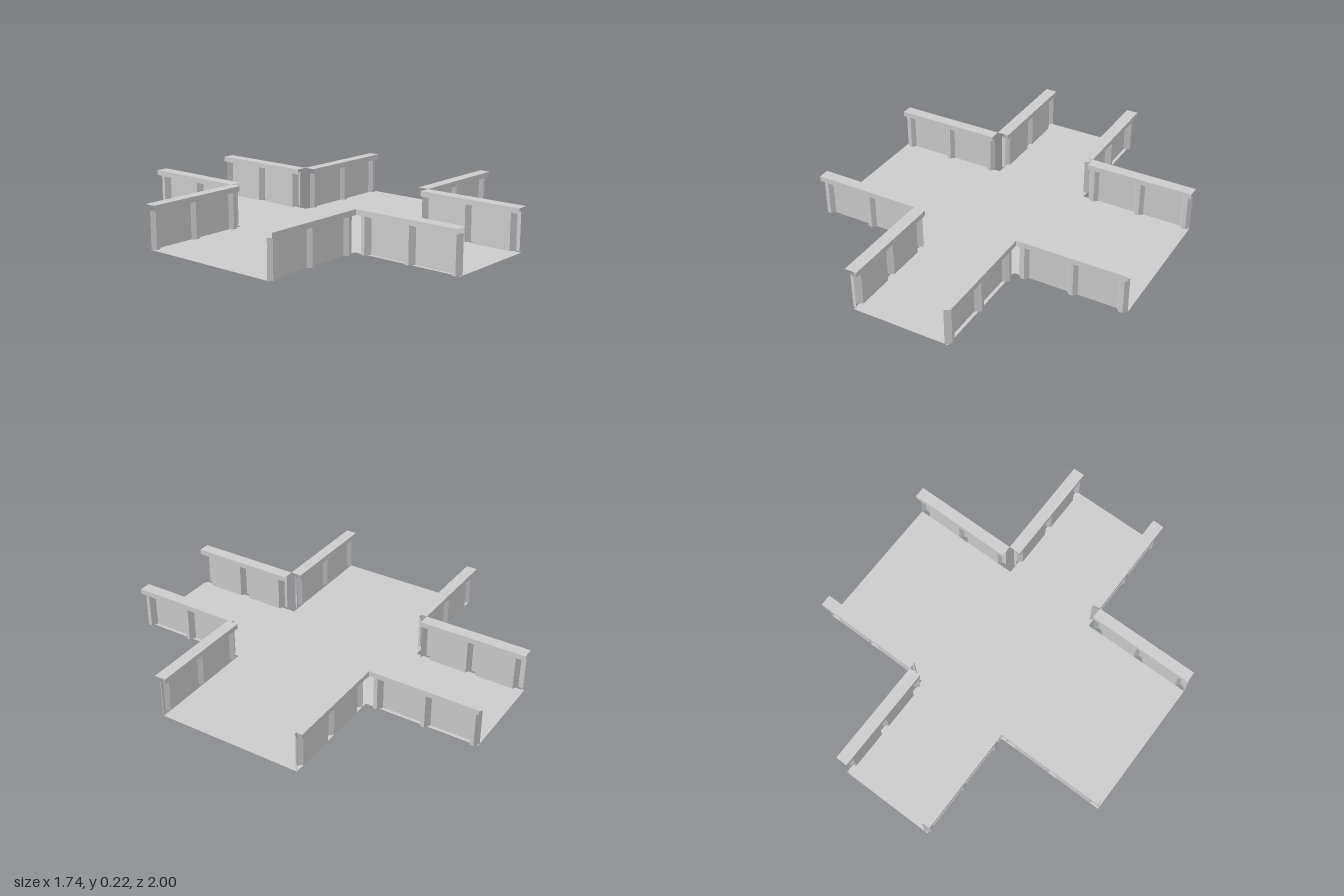
import * as THREE from 'three';

const FLOOR_X = 0.26, FLOOR_Z = 0.388;   // half widths of the two arms
const END_X = 0.87, END_Z = 1;           // arm ends
const WALL_H = 0.197, CAP_H = 0.225;

const sheetMat = new THREE.MeshStandardMaterial({ color: 0xcccccc, flatShading: true, side: THREE.DoubleSide });
const capMat = new THREE.MeshStandardMaterial({ color: 0xcccccc, flatShading: true });

// Ribbed profile along an edge: [distance along, offset], three trapezoid ribs
function ribProfile(start, end, depth) {
  const rib = 0.056, slope = 0.018;
  const step = (end - start - rib) / 2;
  const pts = [];
  for (let i = 0; i < 3; i++) {
    const a = start + i * step;
    pts.push([a, 0], [a + slope, depth], [a + rib - slope, depth], [a + rib, 0]);
  }
  return pts;
}

// Vertical sheet standing on a plan path of [x, z] points
function wallSheet(path) {
  const pos = [];
  for (let i = 0; i < path.length - 1; i++) {
    const [x0, z0] = path[i], [x1, z1] = path[i + 1];
    pos.push(x0, 0, z0, x1, 0, z1, x1, WALL_H, z1);
    pos.push(x0, 0, z0, x1, WALL_H, z1, x0, WALL_H, z0);
  }
  const g = new THREE.BufferGeometry();
  g.setAttribute('position', new THREE.Float32BufferAttribute(pos, 3));
  g.computeVertexNormals();
  return g;
}

// Rectangular rail with open ends; axis is 'x' or 'z'
function openRail(axis, length, width) {
  const h = CAP_H - WALL_H;
  const g = axis === 'x'
    ? new THREE.BoxGeometry(length, h, width)
    : new THREE.BoxGeometry(width, h, length);
  const first = axis === 'x' ? 0 : 24;     // index range of the two end faces
  const kept = Array.from(g.index.array).filter((_, i) => i < first || i >= first + 12);
  g.setIndex(kept);
  return g;
}

export function createModel() {
  const group = new THREE.Group();
  const add = (name, geometry, material, x = 0, y = 0, z = 0) => {
    const m = new THREE.Mesh(geometry, material);
    m.name = name;
    m.position.set(x, y, z);
    group.add(m);
  };

  // Cross-shaped floor
  const cross = new THREE.Shape();
  const quarter = [[END_X, FLOOR_Z], [FLOOR_X, FLOOR_Z], [FLOOR_X, END_Z]];
  const mirrored = (sx, sy, pts) => pts.map(([x, y]) => new THREE.Vector2(x * sx, y * sy));
  const reversed = [...quarter].reverse();
  cross.setFromPoints([
    ...mirrored(1, 1, quarter), ...mirrored(-1, 1, reversed),
    ...mirrored(-1, -1, quarter), ...mirrored(1, -1, reversed),
  ]);
  add('floor', new THREE.ShapeGeometry(cross).rotateX(-Math.PI / 2), sheetMat);

  const capY = (WALL_H + CAP_H) / 2;
  const startX = 0.29, startZ = 0.42;
  for (const sx of [-1, 1]) {
    for (const sz of [-1, 1]) {
      const side = (sz > 0 ? 'front' : 'back') + (sx > 0 ? 'Left' : 'Right');

      // Walls along the side arms: ribs always step towards the front
      const along = ribProfile(startX, END_X, 0.02).map(([d, o]) => [sx * d, sz * FLOOR_Z + o]);
      add(side + 'SideArmWall', wallSheet(along), sheetMat);
      add(side + 'SideArmCap', openRail('x', END_X - startX, 0.06), capMat,
        sx * (startX + END_X) / 2, capY, sz * 0.39);

      // Walls along the long arms: ribs step outwards
      const across = ribProfile(startZ, END_Z, 0.031).map(([d, o]) => [sx * (0.243 + o), sz * d]);
      add(side + 'LongArmWall', wallSheet(across), sheetMat);
      add(side + 'LongArmCap', openRail('z', END_Z - startZ, 0.064), capMat,
        sx * 0.258, capY, sz * (startZ + END_Z) / 2);
    }
  }
  return group;
}
